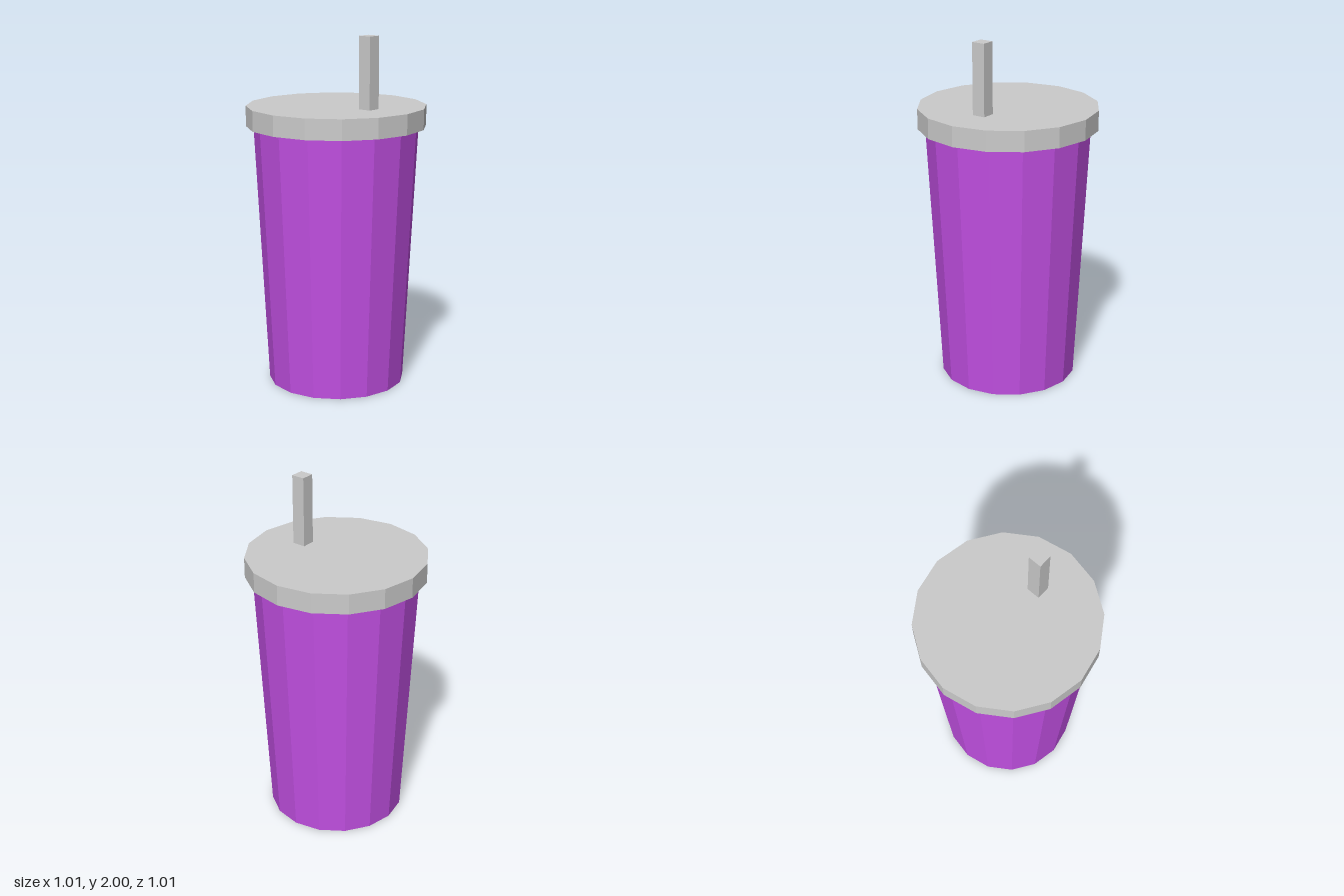
import * as THREE from 'three';

const SIDES = 16;

export function createModel() {
  const group = new THREE.Group();
  const grey = new THREE.MeshStandardMaterial({ color: 0xcccccc, flatShading: true });
  const purple = new THREE.MeshStandardMaterial({ color: 0xc350e4, flatShading: true });

  const add = (name, geometry, material, x, y) => {
    const mesh = new THREE.Mesh(geometry, material);
    mesh.name = name;
    mesh.position.set(x, y, 0);
    group.add(mesh);
  };

  // Tapered cup body, standing on the ground and closed by the lid
  const cupHeight = 1.485;
  add('cup', new THREE.CylinderGeometry(0.465, 0.39, cupHeight, SIDES), purple, 0, cupHeight / 2);

  // Overhanging flat lid
  const lidTop = 1.6;
  const lidHeight = lidTop - cupHeight;
  add('lid', new THREE.CylinderGeometry(0.507, 0.507, lidHeight, SIDES), grey, 0, lidTop - lidHeight / 2);

  // Square straw rising from the lid, off centre
  const strawHeight = 2 - lidTop;
  add('straw', new THREE.BoxGeometry(0.077, strawHeight, 0.077), grey, 0.237, lidTop + strawHeight / 2);

  return group;
}
